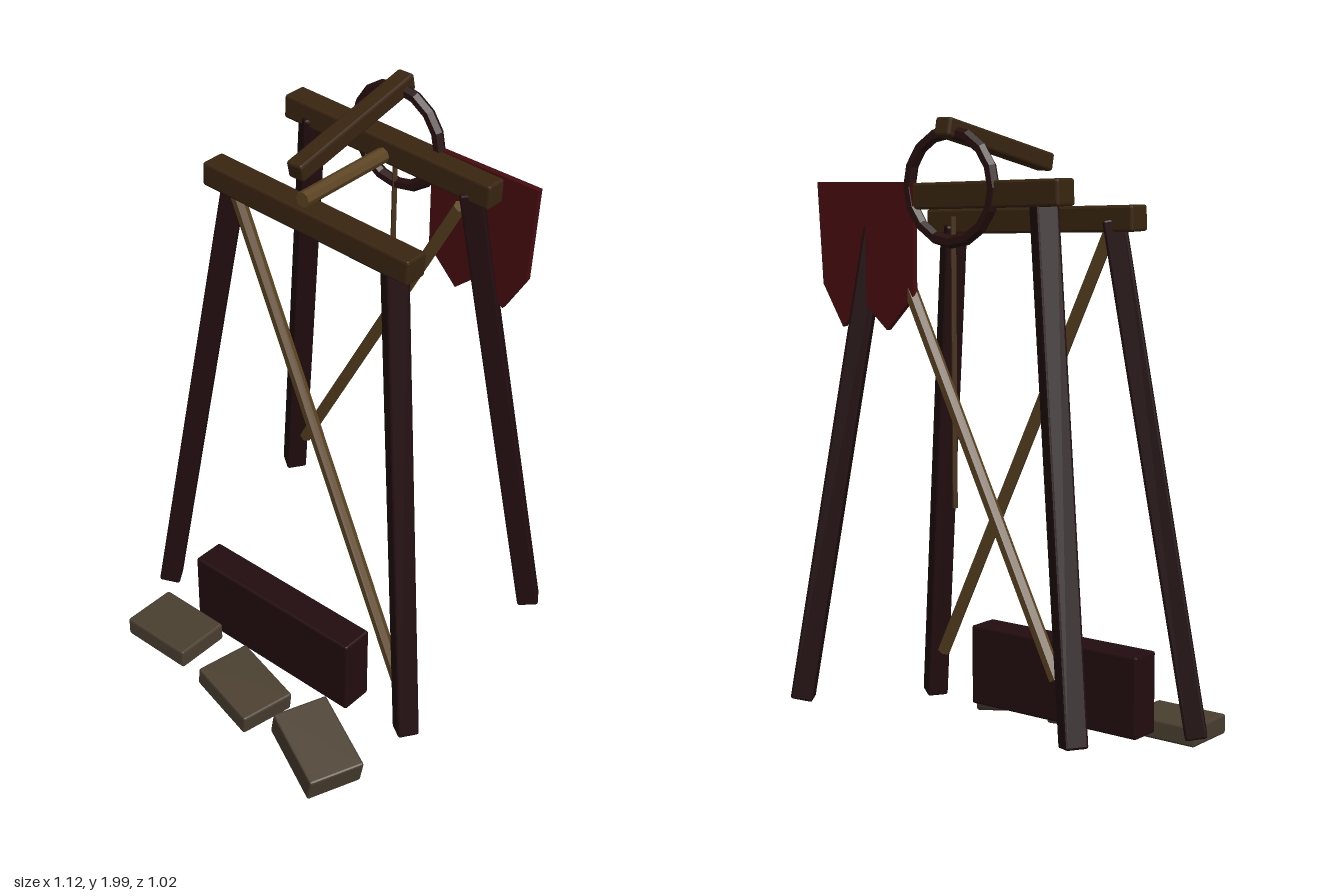
import * as THREE from 'three';
import { RoundedBoxGeometry } from 'three/addons/geometries/RoundedBoxGeometry.js';

const mat = (name, color) => {
  const m = new THREE.MeshStandardMaterial({ color, flatShading: true });
  m.name = name;
  return m;
};

export function createModel() {
  const group = new THREE.Group();
  const darkWood = mat('dark wood', 0x220d0f);
  const beamWood = mat('beam wood', 0x392510);
  const paleWood = mat('pale wood', 0x5c4422);
  const ropeBrown = mat('rope brown', 0x4c3620);
  const cloth = mat('red cloth', 0x480c0f);
  const stone = mat('stone', 0x4a3f30);
  const iron = mat('ring brown', 0x260f0e);

  const add = (name, geometry, material, x = 0, y = 0, z = 0) => {
    const mesh = new THREE.Mesh(geometry, material);
    mesh.name = name;
    mesh.position.set(x, y, z);
    group.add(mesh);
    return mesh;
  };
  const block = (w, h, d) => new RoundedBoxGeometry(w, h, d, 1, 0.007);

  // Stretch a part between two points, keeping one side pair level
  const span = (name, a, b, make, material) => {
    const A = new THREE.Vector3(...a), B = new THREE.Vector3(...b);
    const dir = B.clone().sub(A);
    const mesh = add(name, make(dir.length()), material);
    dir.normalize();
    const side = new THREE.Vector3(dir.z, 0, -dir.x).normalize();
    const third = new THREE.Vector3().crossVectors(side, dir);
    mesh.quaternion.setFromRotationMatrix(new THREE.Matrix4().makeBasis(side, dir, third));
    mesh.position.copy(A).add(B).multiplyScalar(0.5);
    return mesh;
  };
  const legBox = (l) => block(0.068, l, 0.068);
  const pole = (r) => (l) => new THREE.CylinderGeometry(r, r, l, 6);

  // Four splayed legs; the frame leans slightly to one side
  for (const s of [-1, 1]) {
    const lean = -0.023 * s;
    span('frontLeg', [s * 0.515, 0.135 + lean, 0.157], [s * 0.3, 1.695 + lean * 0.7, 0.012], legBox, darkWood);
    span('backLeg', [s * 0.515, 0.265 + lean, -0.47], [s * 0.3, 1.77 + lean * 0.7, -0.325], legBox, darkWood);
  }

  // Cross beams
  add('frontBeam', block(0.77, 0.076, 0.08), beamWood, 0, 1.698, 0.021).rotation.z = -0.04;
  add('backBeam', block(0.77, 0.076, 0.08), beamWood, 0, 1.78, -0.334).rotation.z = -0.04;

  // Diagonal braces
  span('frontBrace', [-0.27, 1.67, 0.035], [0.45, 0.27, 0.125], pole(0.021), paleWood);
  span('backBrace', [0.25, 1.67, -0.345], [-0.43, 0.46, -0.435], pole(0.021), paleWood);

  // Axle, wheel ring, rope and swing arm
  add('axle', new THREE.CylinderGeometry(0.024, 0.024, 0.4, 8), paleWood, 0, 1.768, -0.145).rotation.x = Math.PI / 2;
  add('wheelRing', new THREE.TorusGeometry(0.154, 0.019, 6, 16), iron, 0, 1.803, -0.362);
  add('rope', new THREE.CylinderGeometry(0.008, 0.008, 0.84, 6), ropeBrown, 0, 1.3, -0.352);
  add('swingArm', block(0.056, 0.054, 0.495), beamWood, 0, 1.92, -0.156).rotation.x = 0.214;

  // Torn banner with two points
  const outline = [[0.13, 1.815], [0.505, 1.81], [0.487, 1.51], [0.41, 1.385],
    [0.33, 1.465], [0.235, 1.385], [0.132, 1.49]];
  const shape = new THREE.Shape(outline.map(([x, y]) => new THREE.Vector2(x, y)));
  add('banner', new THREE.ExtrudeGeometry(shape, { depth: 0.018, bevelEnabled: false }), cloth, 0, 0, -0.376);

  // Plank and loose stones at the foot
  add('plank', block(0.645, 0.262, 0.107), darkWood, -0.002, 0.25, 0.165);
  const stones = [
    [-0.34, 0.128, 0.313, 0.252, 0.064, 0.187, 0, 0],
    [0, 0.097, 0.343, 0.252, 0.07, 0.187, -0.187, -0.13],
    [0.338, 0.088, 0.376, 0.268, 0.095, 0.185, -0.377, -0.25],
  ];
  for (const [x, y, z, w, h, d, yaw, roll] of stones) {
    add('stoneBlock', block(w, h, d), stone, x, y, z).rotation.set(0, yaw, roll);
  }
  return group;
}
